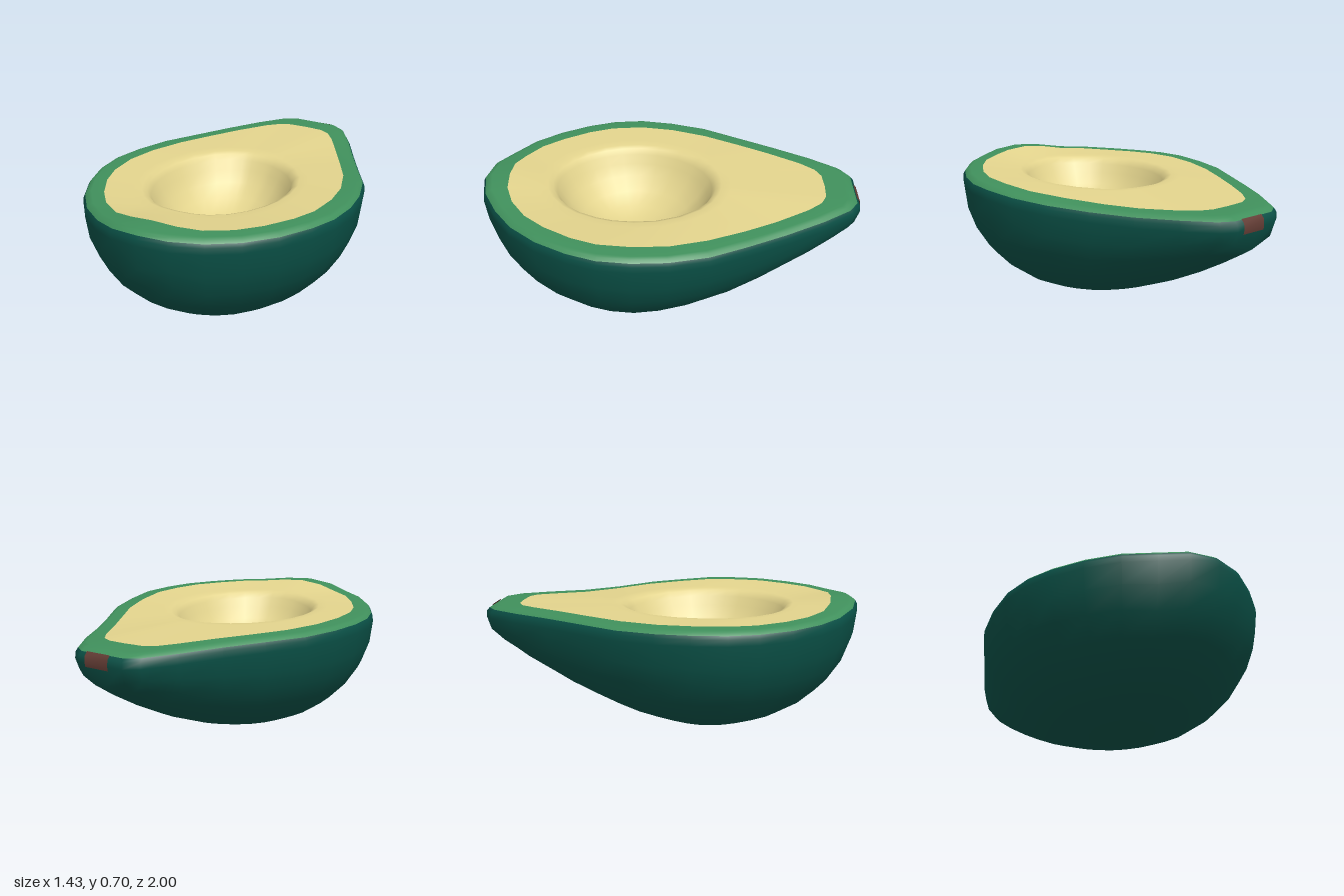
import * as THREE from 'three';

const { lerp, smoothstep } = THREE.MathUtils;
const mat = (name, color) => Object.assign(new THREE.MeshStandardMaterial({ color }), { name });

// Half outlines (x, z) from the narrow tip round to the broad end
const OUTER = [[0, -.996], [.13, -.996], [.2, -.95], [.3, -.8], [.41, -.6], [.52, -.4], [.63, -.2], [.69, 0],
  [.715, .18], [.7, .35], [.65, .5], [.56, .66], [.44, .8], [.3, .9], [.155, .975], [0, 1]];
const FLESH = [[0, -.82], [.1, -.815], [.16, -.785], [.22, -.71], [.32, -.54], [.41, -.38], [.51, -.19], [.575, 0],
  [.6, .18], [.585, .35], [.54, .48], [.455, .62], [.36, .73], [.24, .81], [.125, .85], [0, .858]];
const mirror = half => [...half, ...half.slice(1, -1).reverse().map(([x, z]) => [-x, z])];
const outer = mirror(OUTER), flesh = mirror(FLESH);
const CZ = 0.2; // centre of the outline along z

// Gently wavy height of the cut rim, every 30 degrees from the broad end by way of +x
const RIM = [.705, .685, .68, .672, .65, .63, .644, .655, .656, .662, .66, .668];
const rimY = outer.map(([x, z]) => {
  const t = (Math.atan2(x, z - CZ) / Math.PI * 6 + 12) % 12, i = Math.floor(t);
  return lerp(RIM[i], RIM[(i + 1) % 12], smoothstep(t - i, 0, 1));
});

// Half width of the outline at a given z
function halfWidth(z) {
  const i = Math.max(2, OUTER.findIndex(p => p[1] >= z));
  const [x0, z0] = OUTER[i - 1], [x1, z1] = OUTER[i];
  return lerp(x0, x1, (z - z0) / (z1 - z0));
}

// Depth of the bowl from 0 at the rim to 1 at the lowest point
function depth(x, z) {
  const keel = z > CZ ? Math.sqrt(1 - ((z - CZ) / 0.8) ** 2) : 1 - 0.83 * ((CZ - z) / 1.196) ** 1.65;
  return keel * Math.sqrt(Math.max(0, 1 - (x / halfWidth(z)) ** 2));
}

// Joins closed rings of points into a smooth surface
function loft(rings) {
  const n = outer.length, index = [];
  for (let j = 0; j < rings.length - 1; j++) {
    for (let i = 0; i < n; i++) {
      const a = j * n + i, b = j * n + (i + 1) % n;
      index.push(a, a + n, b, b, a + n, b + n);
    }
  }
  const geo = new THREE.BufferGeometry();
  geo.setAttribute('position', new THREE.Float32BufferAttribute(rings.flat(2), 3));
  geo.setIndex(index);
  geo.computeVertexNormals();
  return geo;
}

// Ring of the outer outline scaled about its centre, set below the rim
const scaled = (s, drop) => outer.map(([x, z], i) => [x * s, rimY[i] - drop, CZ + (z - CZ) * s]);

// Ring of the oval pit hollow, aligned with the flesh outline
const pitRing = (s, drop) => flesh.map(([x, z], i) => {
  const dx = x / 0.35, dz = (z - CZ) / 0.415, l = Math.hypot(dx, dz);
  const y = lerp(0.657, rimY[i], 0.3 * Math.min(1, s * s));
  return [-0.012 + 0.35 * s * dx / l, y - drop, CZ - 0.005 + 0.415 * s * dz / l];
});

export function createModel() {
  const group = new THREE.Group();
  group.name = 'halvedFruit';
  const add = (name, geo, material) => {
    const mesh = new THREE.Mesh(geo, material);
    mesh.name = name;
    group.add(mesh);
  };

  // Skin: round bowl, straighter towards the narrow tip, with a rolled lip
  const rings = [];
  const steps = 8;
  for (let j = 0; j < steps; j++) {
    const s = Math.sin(j / steps * Math.PI / 2);
    rings.push(outer.map(([px, pz], i) => {
      const x = px * s, z = CZ + (pz - CZ) * s;
      return [x, (rimY[i] - 0.07) * (1 - depth(x, z)), z];
    }));
  }
  rings.push(scaled(1, 0.07), scaled(0.997, 0.038), scaled(0.984, 0.021));
  add('skin', loft(rings), mat('darkGreenSkin', 0x0a5046));

  // Green band between skin and flesh
  const fleshEdge = flesh.map(([x, z], i) => [x, rimY[i], z]);
  add('greenRim', loft([scaled(0.984, 0.021), scaled(0.965, 0.007), scaled(0.94, 0.001), fleshEdge]),
    mat('rimGreen', 0x40905c));

  // Flesh with the pit hollow
  const hollow = [[1.25, 0], [1.12, .002], [1.05, .012], [1, .04], [.94, .088], [.84, .15], [.68, .215],
    [.45, .268], [.22, .293], [0, .3]];
  add('flesh', loft([fleshEdge, ...hollow.map(([s, d]) => pitRing(s, d))]), mat('paleFlesh', 0xe3d48d));

  // Stem scar: thin patch wrapped over the tip
  const stem = new THREE.PlaneGeometry(0.14, 1, 1, 3).rotateY(Math.PI).translate(0.022, 0, 0);
  const profile = [[.627, -.98], [.608, -.997], [.575, -1], [.555, -.996]];
  const pos = stem.attributes.position;
  for (let i = 0; i < pos.count; i++) {
    const [y, z] = profile[Math.floor(i / 2)];
    pos.setXYZ(i, pos.getX(i), y, z);
  }
  stem.computeVertexNormals();
  const brown = mat('stemBrown', 0x623c34);
  brown.side = THREE.DoubleSide;
  add('stemScar', stem, brown);

  return group;
}
